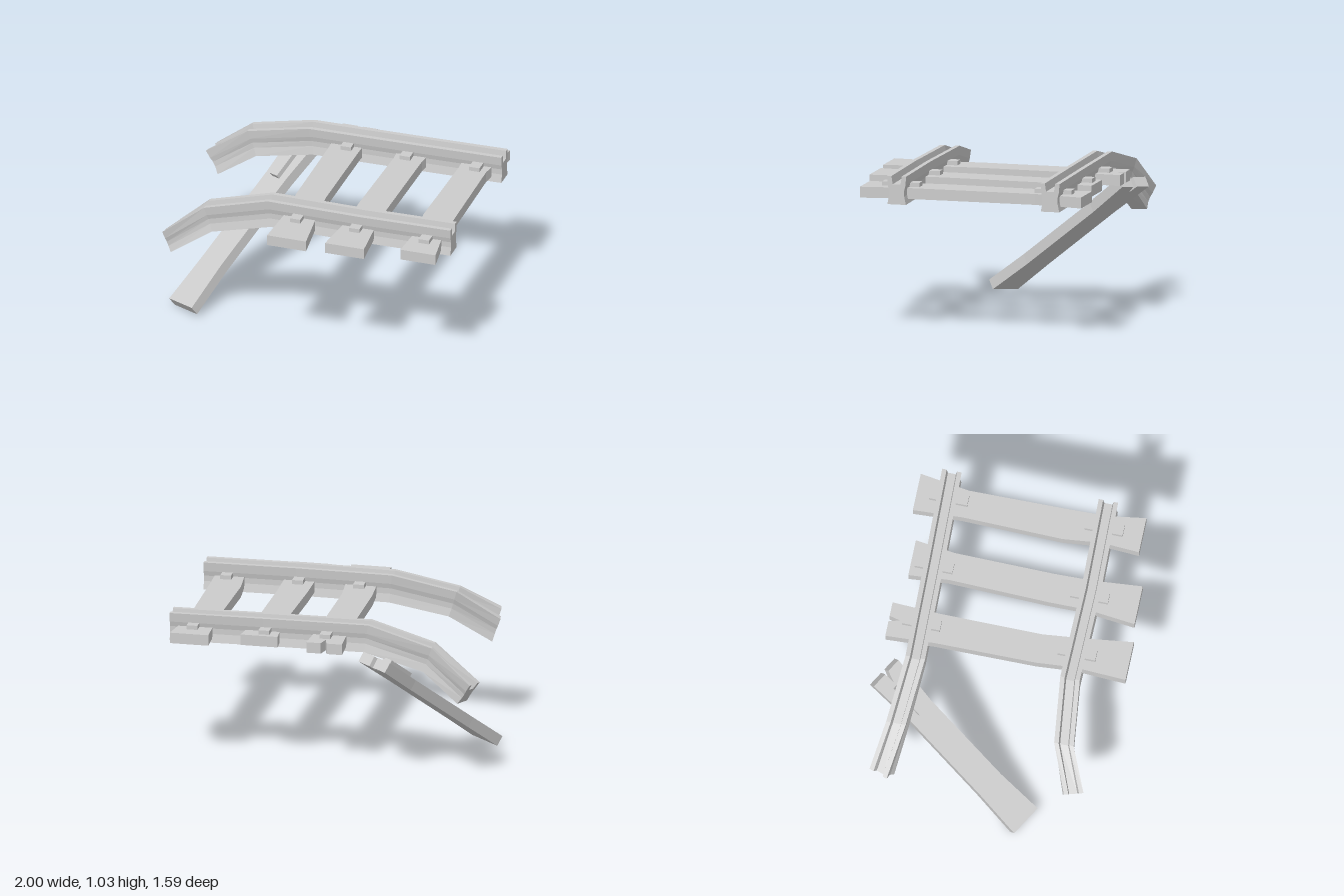
import * as THREE from 'three';

const material = new THREE.MeshStandardMaterial({ color: 0xcccccc, flatShading: true });

function addMesh(parent, name, geometry) {
  const mesh = new THREE.Mesh(geometry, material);
  mesh.name = name;
  parent.add(mesh);
  return mesh;
}

// Rail section: [sideways offset, height fraction], counter-clockwise, with a grooved head
const SECTION = [
  [-0.061, 0], [0.061, 0], [0.05, 0.3], [0.05, 0.5], [0.058, 0.68], [0.063, 1],
  [0.034, 1], [0.026, 0.71], [-0.026, 0.71], [-0.034, 1], [-0.063, 1],
  [-0.058, 0.68], [-0.05, 0.5], [-0.05, 0.3],
].map(([w, v]) => new THREE.Vector2(w, v));

// Sweep the section through stations of bottom centre, top centre and sideways direction
function railGeometry(stations) {
  const n = SECTION.length, positions = [], index = [];
  for (const { bottom, top, side = [0, 0, 1] } of stations) {
    for (const p of SECTION) {
      for (let k = 0; k < 3; k++) {
        positions.push(bottom[k] + (top[k] - bottom[k]) * p.y + side[k] * p.x);
      }
    }
  }
  for (let i = 0; i < stations.length - 1; i++) {
    for (let j = 0; j < n; j++) {
      const a = i * n + j, b = i * n + (j + 1) % n;
      index.push(a, b + n, b, a, a + n, b + n);
    }
  }
  // End caps
  const last = (stations.length - 1) * n;
  for (const [a, b, c] of THREE.ShapeUtils.triangulateShape(SECTION, [])) {
    index.push(a, b, c, last + a, last + c, last + b);
  }
  const indexed = new THREE.BufferGeometry();
  indexed.setAttribute('position', new THREE.Float32BufferAttribute(positions, 3));
  indexed.setIndex(index);
  const geometry = indexed.toNonIndexed();
  geometry.computeVertexNormals();
  return geometry;
}

// Plank cut from an outline of [x, z] points, standing on y = 0
const THICKNESS = 0.07;
function plankGeometry(outline) {
  const shape = new THREE.Shape(outline.map(([x, z]) => new THREE.Vector2(x, -z)));
  const geometry = new THREE.ExtrudeGeometry(shape, { depth: THICKNESS, bevelEnabled: false });
  return geometry.rotateX(-Math.PI / 2);
}

export function createModel() {
  const model = new THREE.Group();
  model.name = 'brokenTrack';

  // Rails, bent down and outward at the broken end
  const BASE = 0.848, HEAD = 1.03;
  const straight = (x, z, topX = x) => ({ bottom: [x, BASE, z], top: [topX, HEAD, z] });
  addMesh(model, 'frontRail', railGeometry([
    { bottom: [-0.83, 0.607, 0.58], top: [-0.88, 0.755, 0.6], side: [0.15, 0.36, 0.98] },
    { bottom: [-0.58, 0.768, 0.48], top: [-0.63, 0.935, 0.485] },
    straight(-0.2, 0.44, -0.22), straight(0.4, 0.45), straight(1, 0.437),
  ]));
  addMesh(model, 'backRail', railGeometry([
    { bottom: [-0.89, 0.562, -0.612], top: [-0.978, 0.7, -0.645], side: [-0.32, -0.1, 0.94] },
    { bottom: [-0.64, 0.755, -0.575], top: [-0.7, 0.92, -0.587] },
    straight(-0.25, -0.548, -0.28), straight(0.4, -0.56), straight(1, -0.575),
  ]));

  // Cross ties, flared at their ends; the first one is split at the back
  const ties = [
    { x: -0.015, outline: [[-0.145, -0.77], [-0.13, -0.45], [-0.13, 0.2], [-0.112, 0.45], [-0.13, 0.78],
      [0.13, 0.78], [0.09, 0.45], [0.065, 0.2], [0.07, -0.45], [0.085, -0.77],
      [-0.008, -0.77], [-0.025, -0.7], [-0.045, -0.77]] },
    { x: 0.38, outline: [[0.285, -0.71], [0.305, -0.45], [0.285, 0.2], [0.285, 0.45], [0.25, 0.76],
      [0.51, 0.76], [0.485, 0.45], [0.48, 0.2], [0.49, -0.45], [0.525, -0.71]] },
    { x: 0.845, outline: [[0.72, -0.77], [0.735, -0.45], [0.72, 0.2], [0.745, 0.45], [0.73, 0.69],
      [0.965, 0.69], [0.93, 0.45], [0.925, 0.2], [0.92, -0.45], [0.97, -0.77]] },
  ];
  const clamp = new THREE.BoxGeometry(0.07, 0.04, 0.245);
  for (const { x, outline } of ties) {
    addMesh(model, 'crossTie', plankGeometry(outline)).position.y = 0.875;
    for (const z of [0.445, -0.56]) {
      addMesh(model, 'railClamp', clamp).position.set(x, 0.952, z);
    }
  }

  // Fallen tie leaning against the back rail, splintered at its upper end
  const fallen = new THREE.Group();
  fallen.name = 'fallenTie';
  addMesh(fallen, 'fallenPlank', plankGeometry([
    [-0.115, -0.69], [-0.098, -0.35], [-0.1, 0.35], [-0.11, 0.69],
    [0.11, 0.69], [0.09, 0.35], [0.09, -0.35], [0.115, -0.69],
    [0.02, -0.69], [-0.005, -0.61], [-0.01, -0.69],
  ]));
  addMesh(fallen, 'looseClamp', clamp).position.set(0, THICKNESS + 0.012, -0.46);
  const along = new THREE.Vector3(-0.515, -0.79, 1.01).normalize();
  const across = new THREE.Vector3(0.19, 0.025, 0.11);
  across.addScaledVector(along, -across.dot(along)).normalize();
  const normal = new THREE.Vector3().crossVectors(along, across);
  fallen.quaternion.setFromRotationMatrix(new THREE.Matrix4().makeBasis(across, normal, along));
  fallen.position.set(-0.617, 0.464, -0.215).addScaledVector(normal, -THICKNESS);
  model.add(fallen);

  return model;
}
